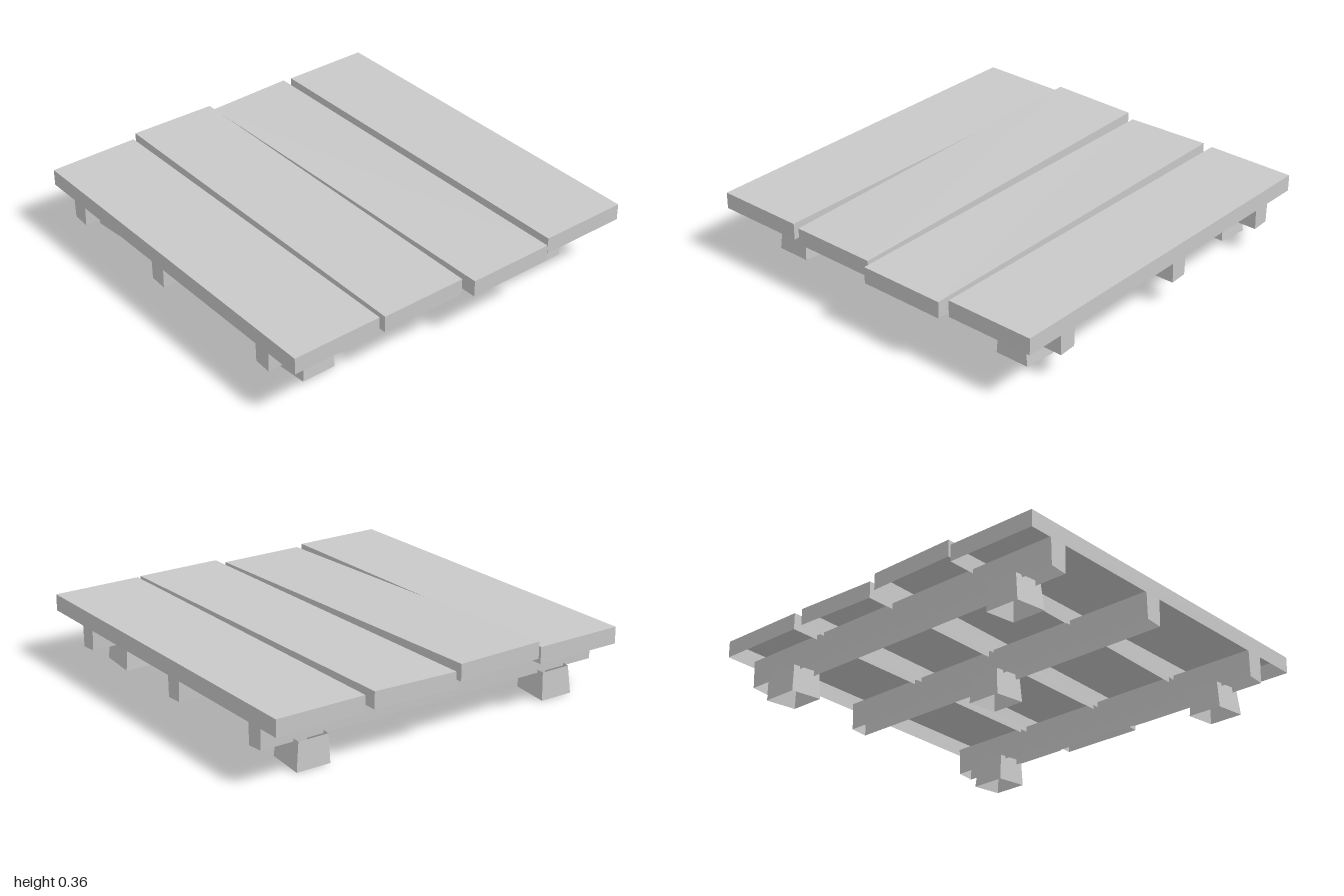
import * as THREE from 'three';

const wood = new THREE.MeshStandardMaterial({ color: 0xc8c8c8, side: THREE.DoubleSide });
wood.name = 'grey wood';

// Hollow box shell, open below and optionally above, whose corners are
// placed by a rule; u, v, w are -1 or 1 along x, y, z.
function shell(name, corner, openTop = false) {
  const box = new THREE.BoxGeometry(2, 2, 2);
  const index = Array.from(box.index.array);
  const sides = [...index.slice(0, 12), ...index.slice(24)];
  const top = index.slice(12, 18);
  box.setIndex(openTop ? sides : [...sides, ...top]);
  box.clearGroups();
  const geometry = box.toNonIndexed();
  const p = geometry.attributes.position;
  for (let i = 0; i < p.count; i++) {
    p.setXYZ(i, ...corner(p.getX(i), p.getY(i), p.getZ(i)));
  }
  geometry.computeVertexNormals();
  const mesh = new THREE.Mesh(geometry, wood);
  mesh.name = name;
  return mesh;
}

// Board along x; each end is [x, zBack, zFront, bottomBack, bottomFront].
function plank(name, rightEnd, leftEnd) {
  const thickness = 0.085;
  return shell(name, (u, v, w) => {
    const [x, zBack, zFront, yBack, yFront] = u < 0 ? rightEnd : leftEnd;
    return [x, (w < 0 ? yBack : yFront) + (v > 0 ? thickness : 0), w < 0 ? zBack : zFront];
  });
}

// Support beam along z, a little narrower at its underside, let into the deck.
function beam(x) {
  return shell('beam', (u, v, w) => [
    x + u * (v > 0 ? 0.049 : 0.045),
    v > 0 ? 0.272 : 0.128 - u * 0.003,
    w * 0.957,
  ]);
}

// Slightly crooked foot sleeve, wider at the ground and tilted sideways.
function foot(x, z, side) {
  return shell('foot', (u, v, w) => [
    x + u * (v > 0 ? 0.082 : 0.09),
    v > 0 ? 0.15 + u * 0.007 : 0.01 + u * 0.008,
    z + w * (v > 0 ? 0.08 : 0.09) - (v > 0 ? side * 0.005 : 0),
  ], true);
}

export function createModel() {
  const model = new THREE.Group();
  model.name = 'woodenPlatform';

  // Deck: two level outer boards, two loose and crooked inner boards
  model.add(
    plank('backPlank', [-1, -0.978, -0.51, 0.25, 0.25], [0.97, -0.978, -0.51, 0.25, 0.25]),
    plank('innerBackPlank', [-1, -0.46, -0.002, 0.255, 0.243], [1, -0.476, -0.018, 0.241, 0.241]),
    plank('innerFrontPlank', [-1, 0.026, 0.489, 0.273, 0.28], [0.948, 0.012, 0.47, 0.238, 0.238]),
    plank('frontPlank', [-1, 0.502, 0.975, 0.25, 0.25], [0.948, 0.502, 0.975, 0.25, 0.25]),
  );

  // Beams under the deck
  const beamX = [-0.803, -0.127, 0.688];
  for (const x of beamX) model.add(beam(x));

  // Feet at the four corners and the middle
  for (const x of [beamX[0], beamX[2]]) {
    for (const side of [-1, 1]) model.add(foot(x, side * 0.71, side));
  }
  model.add(foot(-0.135, 0, 0));

  return model;
}
